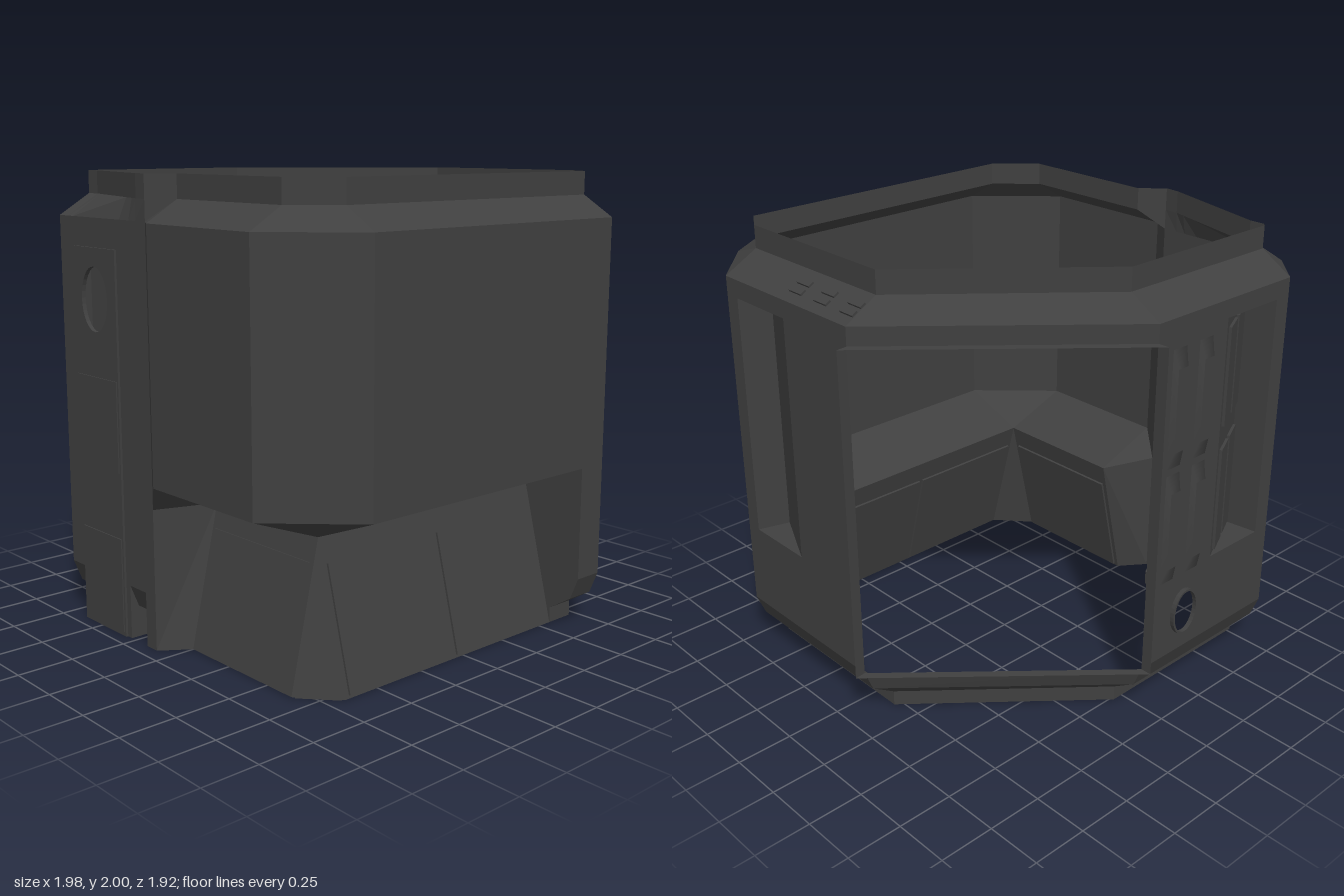
import * as THREE from 'three';

const mat = new THREE.MeshStandardMaterial({ color: 0x404040, side: THREE.DoubleSide });

function add(parent, name, geo, x = 0, y = 0, z = 0, ry = 0) {
  const m = new THREE.Mesh(geo, mat);
  m.name = name;
  m.position.set(x, y, z);
  m.rotation.y = ry;
  parent.add(m);
  return m;
}

// Flat-shaded surface from polygons, each a fan of points
function facets(polys) {
  const v = [];
  for (const p of polys)
    for (let i = 1; i < p.length - 1; i++) v.push(...p[0], ...p[i], ...p[i + 1]);
  const g = new THREE.BufferGeometry();
  g.setAttribute('position', new THREE.Float32BufferAttribute(v, 3));
  g.computeVertexNormals();
  return g;
}

// Skin between neighbouring columns of points; skip(column, row) leaves a face open
function loft(cols, skip = () => false) {
  const polys = [];
  for (let c = 0; c + 1 < cols.length; c++)
    for (let r = 0; r + 1 < cols[c].length; r++)
      if (!skip(c, r)) polys.push([cols[c][r], cols[c][r + 1], cols[c + 1][r + 1], cols[c + 1][r]]);
  return facets(polys);
}

// Hull profile: height and how far it moves from the outer to the inner outline
const PROFILE = [[2, 1], [1.9, 1], [1.81, 0], [0.24, 0], [0.14, 0.27], [0.07, 1], [0, 1]];
const column = (ox, oz, ix, iz, top = 1, bottom = 1) => PROFILE.map(([y, f]) => {
  const k = f * (y > 1 ? top : bottom);
  return [ox + (ix - ox) * k, y, oz + (iz - oz) * k];
});

const rect = (P, u0, y0, u1, y1) => {
  const p = new P();
  p.moveTo(u0, y0); p.lineTo(u1, y0); p.lineTo(u1, y1); p.lineTo(u0, y1); p.closePath();
  return p;
};
const oval = (P, u, y, a, b) => {
  const p = new P();
  p.absellipse(u, y, a, b, 0, Math.PI * 2, false);
  return p;
};
const withHoles = (shape, ...holes) => { shape.holes.push(...holes); return shape; };
const plate = (shape, depth) => new THREE.ExtrudeGeometry(shape, { depth, bevelEnabled: false, curveSegments: 16 });

// Wedge-shaped pocket: flush at u0, deepest at u1, closed at u2
function pocket(u0, u1, u2, y0, y1, d) {
  const A = y => [u0, y, 0], B = y => [u1, y, -d], C = y => [u2, y, 0];
  return facets([
    [A(y0), B(y0), B(y1), A(y1)], [B(y0), C(y0), C(y1), B(y1)],
    [A(y0), C(y0), B(y0)], [A(y1), B(y1), C(y1)],
  ]);
}

// Group whose local +z points out of a wall
function wallGroup(parent, name, x, z, ry) {
  const g = new THREE.Group();
  g.name = name;
  g.position.set(x, 0, z);
  g.rotation.y = ry;
  parent.add(g);
  return g;
}

export function createModel() {
  const model = new THREE.Group();
  const { Shape, Path } = THREE;

  // Front corner on the opening side
  add(model, 'frontCornerHull', loft([
    column(0.935, -0.13, 0.785, -0.13), column(0.935, 0.7, 0.785, 0.69),
    column(0.71, 0.96, 0.71, 0.81), column(0.57, 0.96, 0.57, 0.81),
  ], (c, r) => c === 0 && r === 2));

  // Overhanging hull with the recessed flared base, closing to a vertical edge
  const over = (ox, oz, ix, iz, sx, sz, bx, bz) =>
    [[ix, 2, iz], [ix, 1.9, iz], [ox, 1.81, oz], [ox, 0.74, oz], [sx, 0.62, sz], [bx, 0, bz]];
  add(model, 'overhangHull', loft([
    over(0.57, 0.96, 0.57, 0.81, 0.57, 0.65, 0.57, 0.81),
    over(-0.67, 0.96, -0.67, 0.81, -0.67, 0.65, -0.67, 0.81),
    over(-0.99, 0.65, -0.84, 0.65, -0.67, 0.65, -0.81, 0.65),
    over(-0.99, 0, -0.84, 0, -0.67, 0, -0.81, 0),
    over(-0.935, -0.09, -0.935, -0.09, -0.935, -0.09, -0.935, -0.09),
  ]));
  add(model, 'recessCheek', facets([[
    [0.57, 0.62, 0.65], [0.57, 0.74, 0.96], [0.57, 0.24, 0.96],
    [0.57, 0.14, 0.92], [0.57, 0.07, 0.81], [0.57, 0, 0.81],
  ]]));

  // Door side with its twisting top, then the back
  const side = (z, bottom) => column(-0.935, z, -0.785, z,
    THREE.MathUtils.clamp((-0.14 - z) / 0.54, 0, 1), bottom);
  add(model, 'backHull', loft([
    side(-0.09, 0), side(-0.16, 0), side(-0.21, 1), side(-0.28, 1), side(-0.28, 0),
    side(-0.64, 0), side(-0.64, 1), side(-0.68, 1), side(-0.75, 1),
    column(-0.77, -0.915, -0.77, -0.765), column(0.05, -0.915, 0.05, -0.765),
  ], (c, r) => r === 2 && (c === 4 || c === 9)));

  // Diagonal doorway: lintel, sill and projecting frame
  add(model, 'doorwayLintelAndSill', loft(
    [column(0.05, -0.915, 0.05, -0.765), column(0.935, -0.13, 0.785, -0.13)], (c, r) => r === 2));
  const a = [0.05, -0.915], b = [0.935, -0.13], a2 = [0.05, -0.965], b2 = [0.985, -0.135];
  const at = (p, y) => [p[0], y, p[1]];
  add(model, 'doorwayFrame', facets([
    [at(a, 1.81), at(b, 1.81), at(b, 1.73), at(a, 1.73)],
    ...[0.24, 1.73].map(y => [at(a, y), at(b, y), at(b2, y), at(a2, y)]),
    ...[[a, a2], [b, b2]].map(([p, q]) => [at(p, 0.24), at(q, 0.24), at(q, 1.73), at(p, 1.73)]),
  ]));

  // Flat side wall with a tapered pocket
  const flat = wallGroup(model, 'pocketWall', 0.935, 0, Math.PI / 2);
  add(flat, 'wallPanel', new THREE.ShapeGeometry(withHoles(
    rect(Shape, -0.7, 0.24, 0.13, 1.81), rect(Path, -0.625, 0.63, -0.29, 1.73))));
  add(flat, 'wallPocket', pocket(-0.29, -0.585, -0.625, 0.63, 1.73, 0.14));

  // Small vents on the sloping shoulder
  for (const z of [-0.085, 0.085, 0.25])
    for (const s of [-1, 1]) {
      const vent = add(model, 'vent', new THREE.BoxGeometry(0.028, 0.016, 0.08),
        0.863 + s * 0.02, 1.855 - s * 0.012, z);
      vent.rotation.z = -0.54;
    }

  // Back wall: porthole, ribs and a pocket holding four panels
  const back = wallGroup(model, 'backWall', 0, -0.915, Math.PI);
  add(back, 'wallPanel', new THREE.ShapeGeometry(withHoles(
    rect(Shape, -0.05, 0.24, 0.77, 1.81),
    rect(Path, 0.37, 0.63, 0.69, 1.73), oval(Path, 0.2, 0.43, 0.07, 0.1)), 16));
  add(back, 'portholeRim', plate(withHoles(
    oval(Shape, 0.2, 0.43, 0.08, 0.11), oval(Path, 0.2, 0.43, 0.07, 0.1)), 0.02));
  for (const u of [0.08, 0.24])
    for (const [y0, y1] of [[0.62, 1.13], [1.16, 1.68]]) {
      const rib = new THREE.CylinderGeometry(0.028, 0.04, 0.022, 4, 1, false, Math.PI / 4);
      rib.rotateX(Math.PI / 2).scale(1.41, (y1 - y0) / 0.0566, 1);
      add(back, 'rib', rib, u, (y0 + y1) / 2, 0.011);
    }
  add(back, 'wallPocket', pocket(0.37, 0.67, 0.69, 0.63, 1.73, 0.15));
  const slant = Math.atan2(0.15, 0.3);
  for (const t of [0.28, 0.74])
    for (const [y0, y1] of [[0.65, 1.13], [1.24, 1.68]])
      add(back, 'pocketPanel', new THREE.BoxGeometry(0.125, y1 - y0, 0.024),
        0.37 + 0.3 * t, (y0 + y1) / 2, -0.15 * t, slant);

  // Door with an oval window and panels showing on both faces
  const doorWall = wallGroup(model, 'doorWall', -0.935, 0, -Math.PI / 2);
  const windowHole = () => oval(Path, -0.475, 1.465, 0.1, 0.14);
  add(doorWall, 'wallPanel', new THREE.ShapeGeometry(
    withHoles(rect(Shape, -0.64, 0.24, -0.28, 1.81), windowHole()), 16));
  add(doorWall, 'door', plate(withHoles(rect(Shape, -0.635, 0, -0.31, 1.685), windowHole()), 0.018), 0, 0, -0.008);
  for (const [y0, y1] of [[0.735, 1.13], [0.02, 0.44]])
    add(doorWall, 'doorPanel', plate(rect(Shape, -0.625, y0, -0.32, y1), 0.043), 0, 0, -0.028);

  // Raised panels on the flared base
  const basePanel = (parent, u, w, lean, out) => {
    const p = add(parent, 'basePanel', new THREE.BoxGeometry(w, 0.52, 0.02), u, 0.264, out);
    p.rotation.x = -lean;
  };
  const lean = Math.atan2(0.16, 0.62), sideLean = Math.atan2(0.14, 0.62);
  basePanel(model, -0.355, 0.59, lean, 0.742);
  basePanel(model, 0.24, 0.56, lean, 0.742);
  const baseSide = wallGroup(model, 'baseSide', 0, 0, -Math.PI / 2);
  basePanel(baseSide, 0.325, 0.61, sideLean, 0.75);
  add(model, 'baseCornerPanel', facets([[[-0.685, 0.52, 0.665], [-0.806, 0, 0.668], [-0.685, 0, 0.805]]]));

  return model;
}
